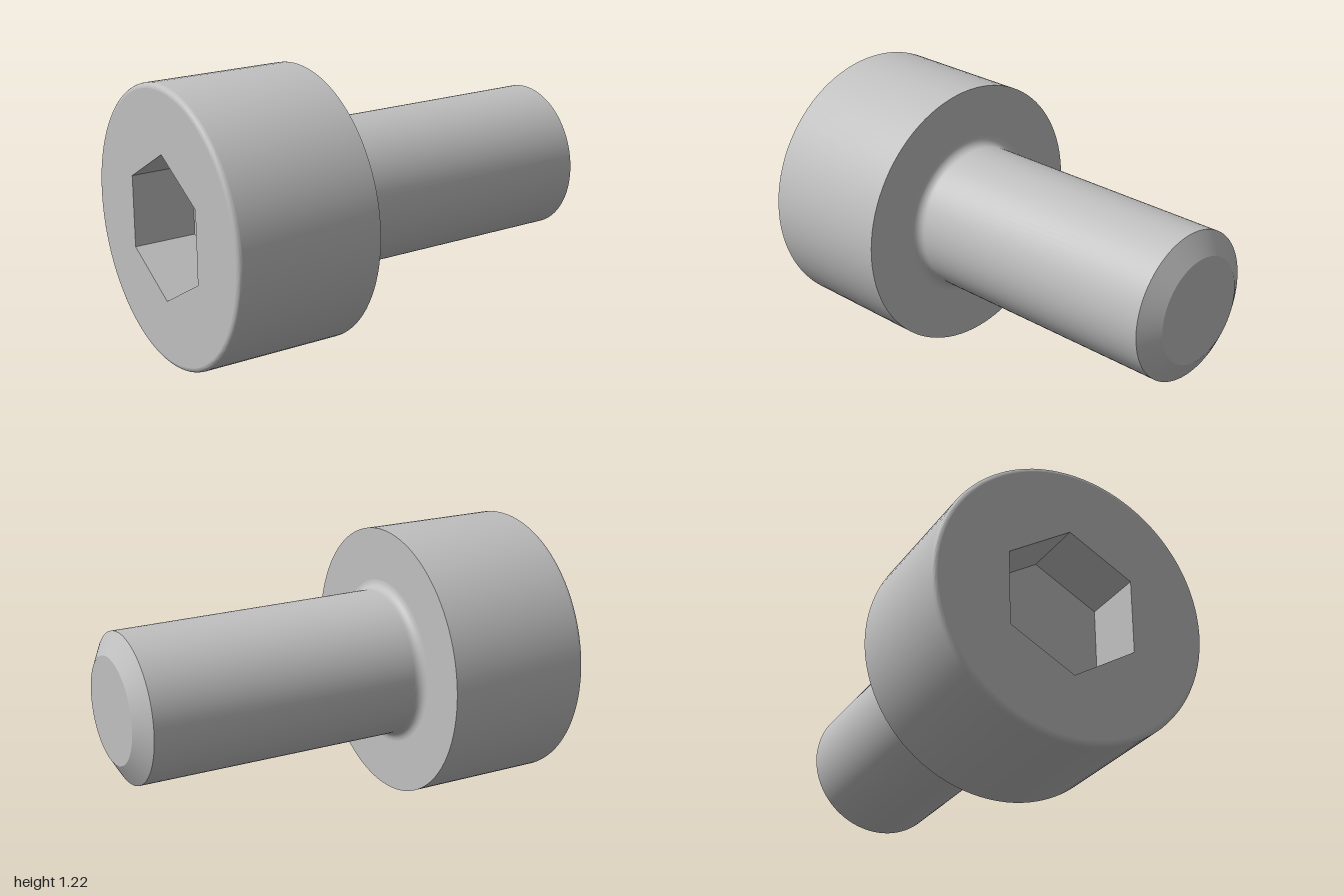
import * as THREE from 'three';
import { toCreasedNormals } from 'three/addons/utils/BufferGeometryUtils.js';

const HEAD_R = 0.611, SHANK_R = 0.333;
const HEAD_X = -1, SEAT_X = -0.333, TIP_X = 1;
const ROUND = 0.022;              // rounded rim of the head
const FILLET = 0.042;             // fillet under the head
const HEX_R = 0.557 / Math.sqrt(3); // socket corner radius
const SOCKET_DEPTH = 0.289;
const SEGMENTS = 96;

// Points [radius, x] along a quarter arc
function arc(r, x, radius, from, to, steps = 6) {
  return Array.from({ length: steps + 1 }, (_, i) => {
    const a = from + (to - from) * i / steps;
    return [r + radius * Math.cos(a), x + radius * Math.sin(a)];
  });
}

// Profile turned about the x axis
function turned(profile) {
  const points = profile.map(([r, x]) => new THREE.Vector2(r, x));
  const geometry = new THREE.LatheGeometry(points, SEGMENTS).rotateZ(-Math.PI / 2);
  return toCreasedNormals(geometry, 0.5);
}

export function createModel() {
  const steel = new THREE.MeshStandardMaterial({ color: 0xc0c0c0 });
  steel.name = 'steel';
  const screw = new THREE.Group();
  screw.name = 'socketHeadScrew';
  const add = (name, geometry) => {
    const mesh = new THREE.Mesh(geometry, steel);
    mesh.name = name;
    mesh.position.y = HEAD_R;
    screw.add(mesh);
  };

  // Head side with rounded rim, and the flat seat underneath
  add('head', turned([
    ...arc(HEAD_R - ROUND, HEAD_X + ROUND, ROUND, -Math.PI / 2, 0),
    [HEAD_R, SEAT_X],
    [SHANK_R + FILLET, SEAT_X],
  ]));

  // Shank with fillet, chamfer and flat tip
  add('shank', turned([
    ...arc(SHANK_R + FILLET, SEAT_X + FILLET, FILLET, -Math.PI / 2, -Math.PI),
    [SHANK_R, 0.943],
    [0.237, TIP_X],
    [0, TIP_X],
  ]));

  // Head face with a hexagonal opening
  const face = new THREE.Shape().absarc(0, 0, HEAD_R - ROUND, 0, Math.PI * 2);
  const corners = Array.from({ length: 6 }, (_, i) => {
    const a = Math.PI / 2 + i * Math.PI / 3;
    return new THREE.Vector2(HEX_R * Math.cos(a), HEX_R * Math.sin(a));
  });
  face.holes.push(new THREE.Path(corners));
  add('headFace', new THREE.ShapeGeometry(face, SEGMENTS / 2)
    .rotateY(-Math.PI / 2).translate(HEAD_X, 0, 0));

  // Socket walls: a hexagonal tube mirrored so that it faces inwards
  const walls = new THREE.CylinderGeometry(HEX_R, HEX_R, SOCKET_DEPTH, 6, 1, true, Math.PI / 2)
    .rotateZ(-Math.PI / 2)
    .scale(1, 1, -1)
    .translate(HEAD_X + SOCKET_DEPTH / 2, 0, 0)
    .toNonIndexed();
  walls.computeVertexNormals();
  add('socketWalls', walls);

  // Socket floor
  add('socketFloor', new THREE.CircleGeometry(HEX_R, 6, Math.PI / 2)
    .rotateY(-Math.PI / 2).translate(HEAD_X + SOCKET_DEPTH, 0, 0));

  return screw;
}
